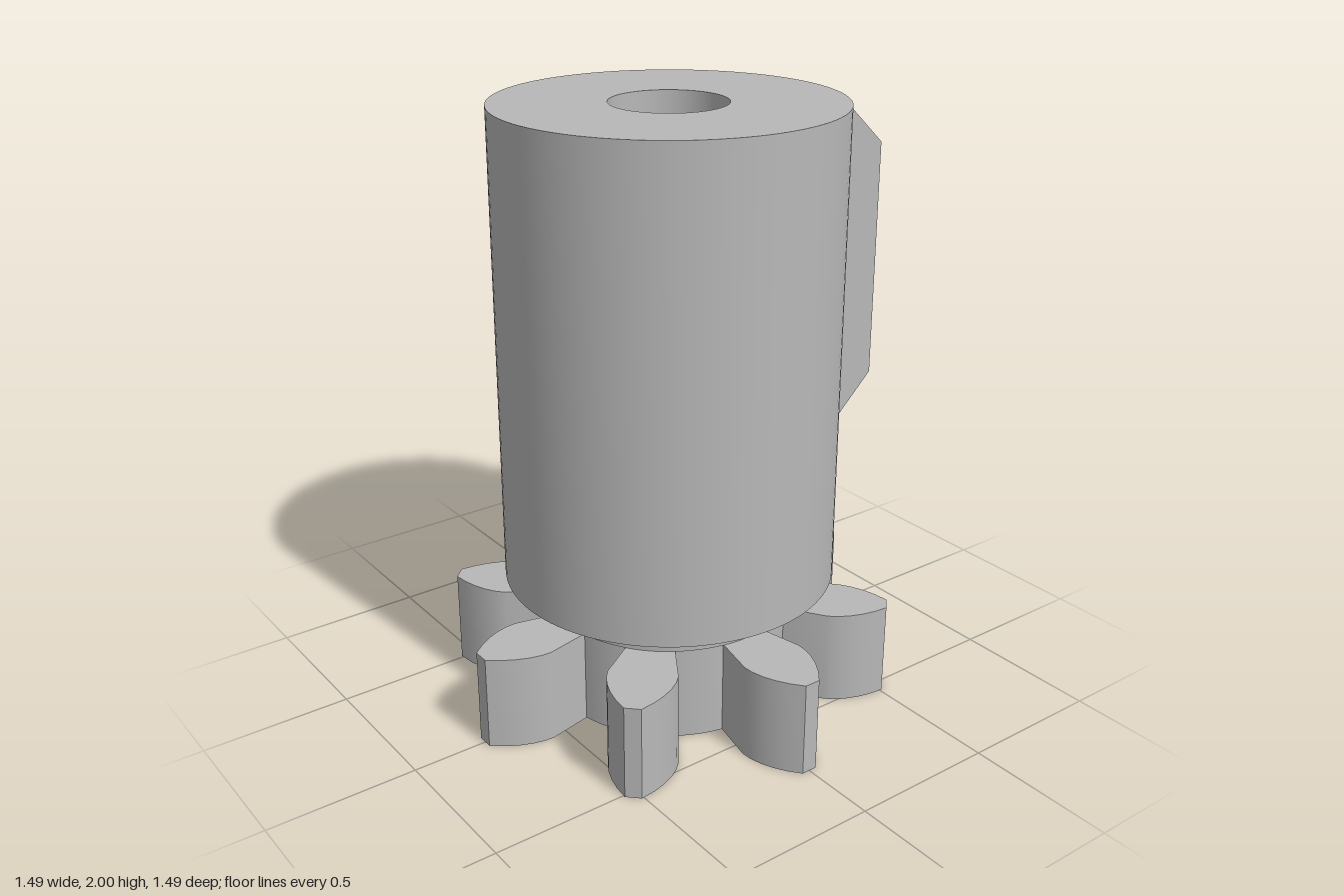
import * as THREE from 'three';
import { toCreasedNormals } from 'three/addons/utils/BufferGeometryUtils.js';

const BORE = 0.187, ROOT = 0.41, BODY = 0.556, TIP = 0.745, GEAR_TOP = 0.323;

// Shaft: neck, conical shoulder, cylinder and through bore
function shaftGeometry() {
  const profile = [
    [0.415, GEAR_TOP], [0.415, 0.345], [BODY, 0.425], [BODY, 2], [BORE, 2], [BORE, GEAR_TOP],
  ].map(([r, y]) => new THREE.Vector2(r, y));
  return toCreasedNormals(new THREE.LatheGeometry(profile, 96), 0.5);
}

// Eight-tooth pinion: radial lower flanks, rounded upper flanks, narrow tips
function gearGeometry() {
  const half = [[0.08, 0.402], [0.112, 0.55], [0.11, 0.585], [0.1, 0.625], [0.083, 0.665], [0.059, 0.705], [0.027, TIP]];
  const tooth = [
    ...half.map(([w, r]) => [r, -w]),
    ...half.slice().reverse().map(([w, r]) => [r, w]),
  ];
  const points = [];
  const rootHalf = Math.atan2(0.08, 0.402);
  for (let i = 0; i < 8; i++) {
    const a = (i * Math.PI) / 4, c = Math.cos(a), s = Math.sin(a);
    for (const [r, w] of tooth) points.push(new THREE.Vector2(r * c - w * s, r * s + w * c));
    // gullet arc to the next tooth
    const span = Math.PI / 4 - 2 * rootHalf;
    for (let k = 1; k < 6; k++) {
      const t = a + rootHalf + (span * k) / 6;
      points.push(new THREE.Vector2(ROOT * Math.cos(t), ROOT * Math.sin(t)));
    }
  }
  const shape = new THREE.Shape(points);
  shape.holes.push(new THREE.Path().absarc(0, 0, BORE, 0, Math.PI * 2, true));
  const geo = new THREE.ExtrudeGeometry(shape, { depth: GEAR_TOP, bevelEnabled: false, curveSegments: 48 });
  geo.rotateX(-Math.PI / 2);
  return toCreasedNormals(geo, 0.5);
}

// Key on the back: a chamfered ring section cut by two parallel planes
function keyGeometry() {
  const w = 0.187, steps = 12;
  const section = [[0.553, 0.827], [TIP, 1.017], [TIP, 1.815], [0.553, 2]];
  const pos = [], index = [];
  for (let i = 0; i <= steps; i++) {
    const x = -w + (2 * w * i) / steps;
    for (const [r, y] of section) pos.push(x, y, -Math.sqrt(r * r - x * x));
  }
  for (let i = 0; i < steps; i++) {
    for (let j = 0; j < 3; j++) {
      const a = i * 4 + j, b = a + 4;
      index.push(a, a + 1, b, b, a + 1, b + 1);
    }
  }
  const e = steps * 4;
  index.push(e, e + 1, e + 2, e, e + 2, e + 3, 0, 2, 1, 0, 3, 2);
  const geo = new THREE.BufferGeometry();
  geo.setAttribute('position', new THREE.Float32BufferAttribute(pos, 3));
  geo.setIndex(index);
  return toCreasedNormals(geo, 0.5);
}

export function createModel() {
  const steel = new THREE.MeshStandardMaterial({ color: 0xb8b8b8 });
  steel.name = 'grey steel';
  const model = new THREE.Group();
  model.name = 'pinionShaft';
  const add = (name, geometry) => {
    const mesh = new THREE.Mesh(geometry, steel);
    mesh.name = name;
    model.add(mesh);
  };
  add('shaft', shaftGeometry());
  add('gear', gearGeometry());
  add('key', keyGeometry());
  return model;
}
